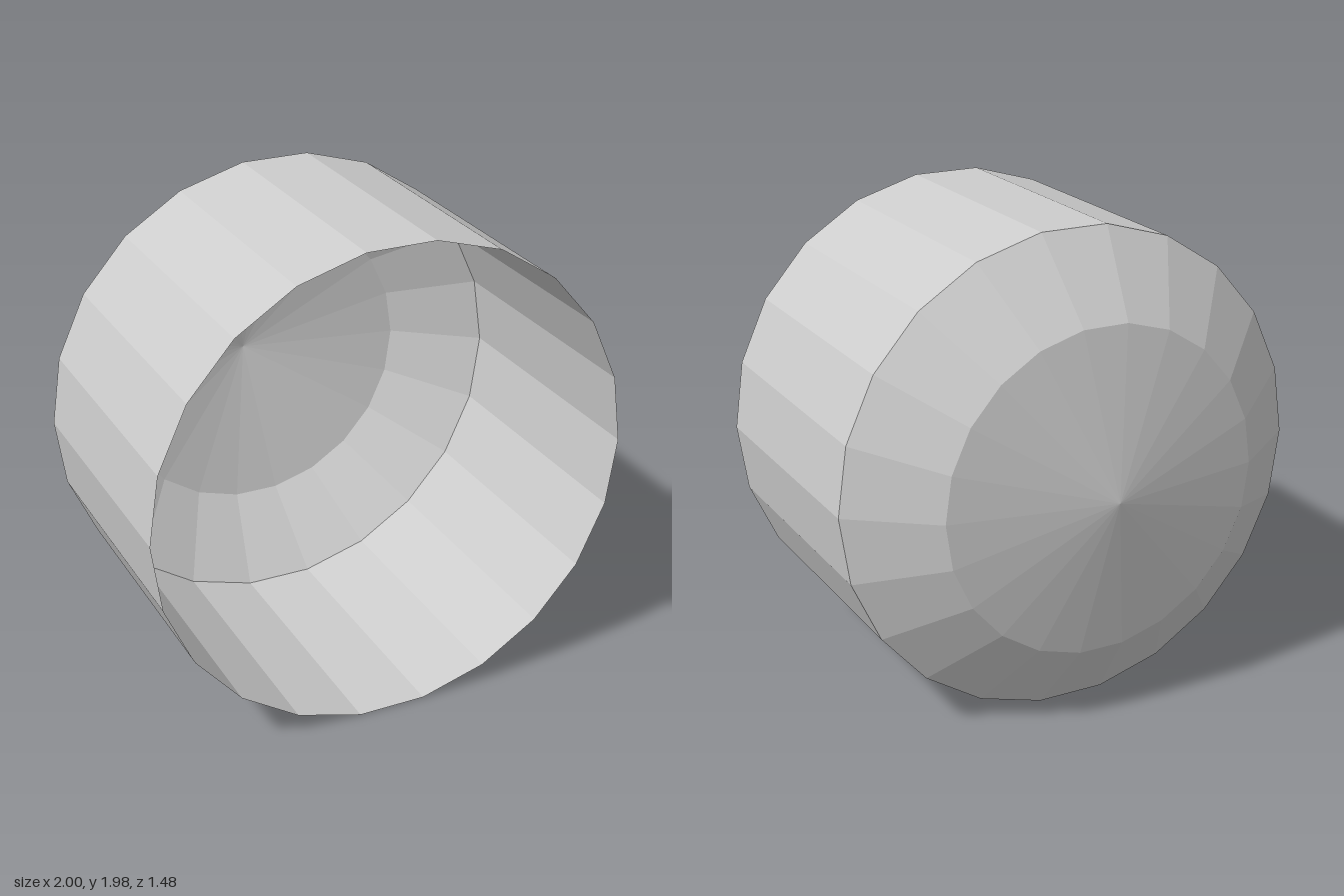
import * as THREE from 'three';

const SIDES = 22;

export function createModel() {
  const model = new THREE.Group();
  model.name = 'openCap';

  const grey = new THREE.MeshStandardMaterial({
    color: 0xcccccc, flatShading: true, side: THREE.DoubleSide,
  });
  grey.name = 'grey';

  // Turns a [radius, z] profile, back to front, into a faceted shell around the z axis
  function addShell(name, profile) {
    const points = profile.map(([r, z]) => new THREE.Vector2(r, z));
    const geometry = new THREE.LatheGeometry(points, SIDES, Math.PI / 2);
    geometry.rotateX(Math.PI / 2);
    // Lift so the flat bottom facet rests on the ground
    geometry.translate(0, Math.cos(Math.PI / SIDES), 0);
    const mesh = new THREE.Mesh(geometry, grey);
    mesh.name = name;
    model.add(mesh);
  }

  // Shallow cone, sloped shoulder, and straight wall open at the front
  addShell('backCone', [[0, -0.74], [0.675, -0.615]]);
  addShell('shoulder', [[0.675, -0.615], [1, -0.37]]);
  addShell('wall', [[1, -0.37], [1, 0.74]]);

  return model;
}
